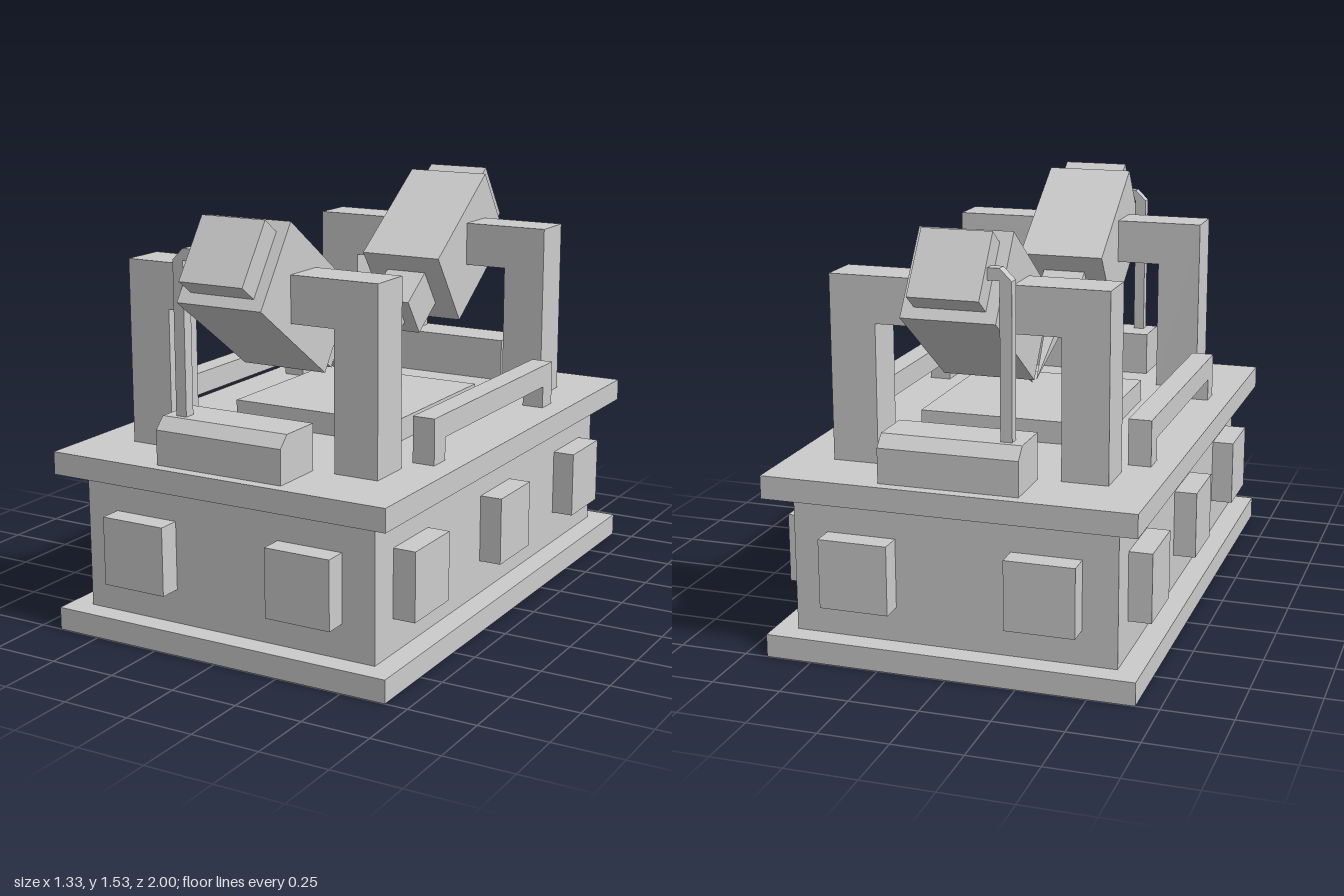
import * as THREE from 'three';

const material = new THREE.MeshStandardMaterial({ color: 0xcccccc, flatShading: true });
const U = 1 / 12; // design grid: the base is 16 x 24 units

function add(parent, name, geometry, x = 0, y = 0, z = 0) {
  const mesh = new THREE.Mesh(geometry, material);
  mesh.name = name;
  mesh.position.set(x * U, y * U, z * U);
  parent.add(mesh);
  return mesh;
}

// Box given by its size and centre, in grid units
const box = (parent, name, w, h, d, x, y, z) =>
  add(parent, name, new THREE.BoxGeometry(w * U, h * U, d * U), x, y, z);

// Outline extruded symmetrically about z = 0, in grid units
function prism(points, depth) {
  const shape = new THREE.Shape(points.map(([x, y]) => new THREE.Vector2(x * U, y * U)));
  return new THREE.ExtrudeGeometry(shape, { depth: depth * U, bevelEnabled: false })
    .translate(0, 0, -depth * U / 2);
}

// Upside-down U: outer half width, inner half width, bottom, underside, top
const archPoints = (o, i, y0, y1, y2) =>
  [[-o, y0], [-i, y0], [-i, y1], [i, y1], [i, y0], [o, y0], [o, y2], [-o, y2]];

// One tool station at the +z end; pipeSide picks the side of the feed pipe
function createStation(pipeSide) {
  const station = new THREE.Group();

  // Gantry frame carrying the head
  add(station, 'gantry', prism(archPoints(6, 4, 8, 14, 16), 2), 0, 0, 8);

  // Chamfered supply box behind the gantry
  const supply = prism([[9, 8], [11.5, 8], [11.5, 9.5], [11, 10], [9, 10]], 6);
  add(station, 'supplyBox', supply.rotateY(-Math.PI / 2));

  // Tilted head, its axis along local z with the nozzle at -z
  const head = new THREE.Group();
  head.name = 'toolHead';
  head.position.set(0, 1.232, 0.636);
  head.rotation.x = -THREE.MathUtils.degToRad(35);
  station.add(head);
  box(head, 'headBody', 4, 4, 6, 0, 0, 0);
  box(head, 'headCap', 3, 3, 1, 0, 0, 3.5);
  box(head, 'nozzleCollar', 2, 2, 2, 0, 0, -4);
  const tip = new THREE.ConeGeometry(0.4 * U * Math.SQRT2, 4 * U, 4)
    .rotateY(Math.PI / 4)
    .rotateX(-Math.PI / 2);
  add(head, 'nozzleTip', tip, 0, 0, -7);

  // Square feed pipe bending into the head cap
  const s = pipeSide;
  const outline = [[2.5, 10], [2.5, 16.5], [2, 17], [1.5, 17], [1.5, 16.5], [2, 16.5], [2, 10]];
  add(station, 'feedPipe', prism(outline.map(([x, y]) => [x * s, y]), 0.5), 0, 0, 10.5);
  return station;
}

export function createModel() {
  const model = new THREE.Group();
  model.name = 'twinHeadMachine';

  // Base
  box(model, 'bottomSlab', 16, 1, 24, 0, 0.5, 0);
  box(model, 'baseBody', 14, 6, 22, 0, 4, 0);
  box(model, 'topSlab', 16, 1, 24, 0, 7.5, 0);
  box(model, 'workTable', 8, 1, 8, 0, 8.5, 0);

  for (const s of [-1, 1]) {
    // Raised panels around the base
    for (const z of [-8, 0, 8]) box(model, 'sidePanel', 1, 3, 3, s * 7.5, 4, z);
    for (const x of [-4, 4]) box(model, 'endPanel', 3, 3, 1, x, 4, s * 11.5);

    // Hand rails beside the table
    const rail = prism(archPoints(6, 5, 8, 9, 10), 1).rotateY(Math.PI / 2);
    add(model, 'handRail', rail, s * 6.5, 0, 0);
  }

  // Facing stations; both feed pipes stand on the -x side
  const front = createStation(-1);
  front.name = 'frontStation';
  const back = createStation(1);
  back.name = 'backStation';
  back.rotation.y = Math.PI;
  model.add(front, back);

  return model;
}
